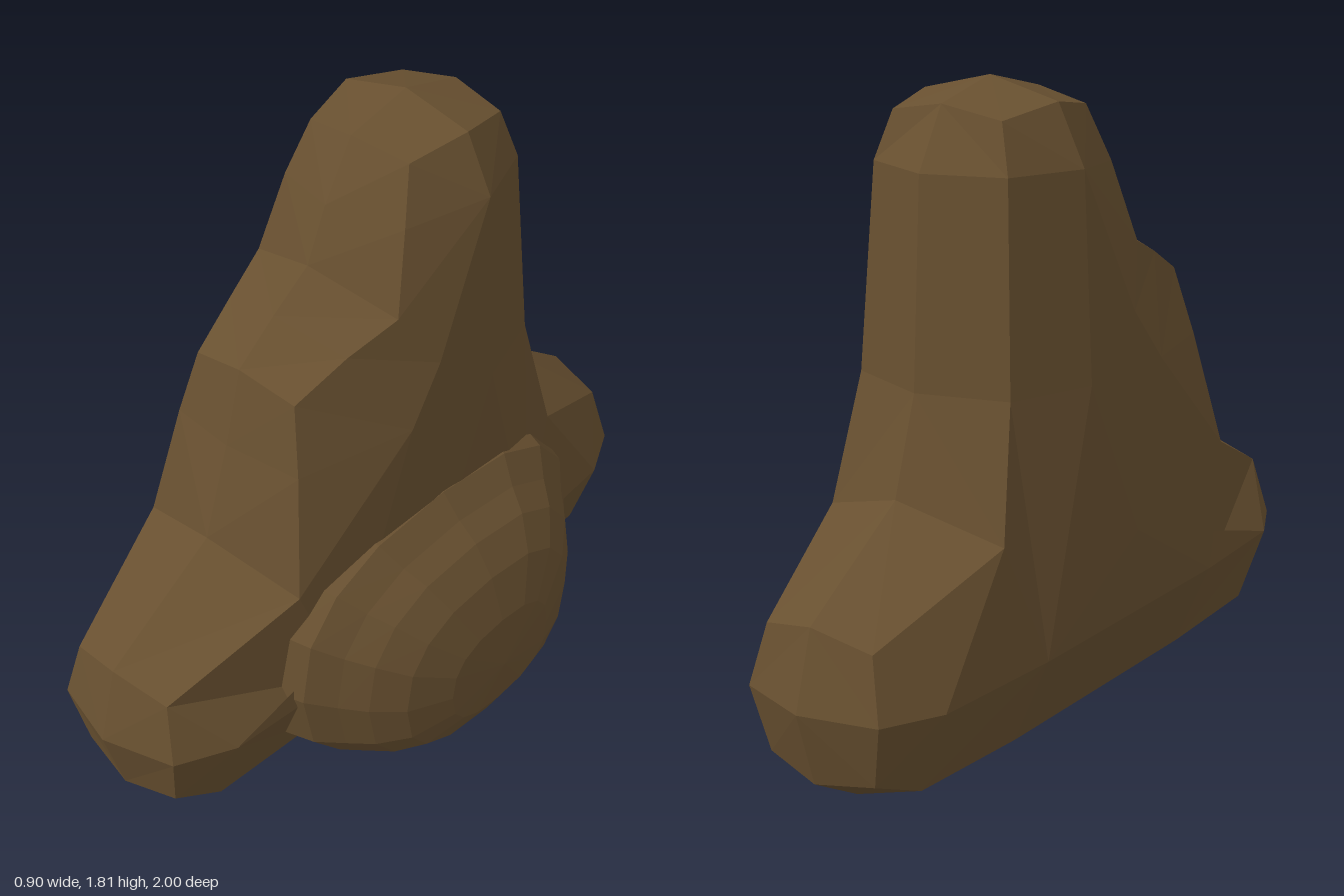
import * as THREE from 'three';

// Long ridge outline on the middle plane, as [z, y]
const RIDGE = [
  [-0.21, 1.81], [-0.41, 1.76], [-0.5, 1.6], [-0.53, 1.05], [-0.61, 0.79], [-0.94, 0.56],
  [-1, 0.35], [-0.94, 0.14], [-0.78, 0.045], [-0.3, 0.02], [0.3, 0.02], [0.78, 0.045],
  [0.94, 0.14], [1, 0.35], [0.94, 0.56], [0.58, 0.79], [0.49, 1.05], [0.43, 1.26],
  [0.3, 1.36], [0.17, 1.45], [0.1, 1.6], [0, 1.76],
];
// Bevel outline, as [z, y, half width]
const BEVEL = [
  [-0.21, 1.76, 0.21], [-0.39, 1.73, 0.17], [-0.42, 1.6, 0.21], [-0.45, 1.05, 0.24],
  [-0.53, 0.7, 0.28], [-0.91, 0.52, 0.17], [-0.94, 0.35, 0.21], [-0.91, 0.17, 0.17],
  [-0.78, 0.12, 0.21], [-0.4, 0.11, 0.22], [0.4, 0.11, 0.22], [0.78, 0.12, 0.21],
  [0.91, 0.17, 0.17], [0.94, 0.35, 0.21], [0.91, 0.52, 0.17], [0.52, 0.7, 0.28],
  [0.45, 1.03, 0.22], [0.41, 1.22, 0.175], [0.25, 1.3, 0.21], [0.1, 1.36, 0.25],
  [0.03, 1.58, 0.21], [-0.03, 1.73, 0.17],
];
// Corners of the flat side, and which corner each bevel point runs to
const SIDE = [
  [-0.21, 1.6, 0.29], [-0.21, 1.05, 0.32], [-0.4, 0.36, 0.325], [-0.78, 0.35, 0.29],
  [0.4, 0.36, 0.325], [0.78, 0.35, 0.29], [0.12, 1.05, 0.32], [0, 1.2, 0.31],
];
const SIDE_OF = [0, 0, 0, 1, 2, 3, 3, 3, 3, 2, 4, 5, 5, 5, 5, 4, 6, 6, 6, 7, 0, 0];
const MID_X = -0.12;

// Joins closed rings of points into faces, skipping collapsed ones
function loft(rings, flip) {
  const pos = [];
  const tri = (a, b, c) => {
    const area = b.clone().sub(a).cross(c.clone().sub(a)).length();
    if (area < 1e-6) return;
    for (const p of flip ? [a, c, b] : [a, b, c]) pos.push(p.x, p.y, p.z);
  };
  for (let r = 0; r < rings.length - 1; r++) {
    const outer = rings[r], inner = rings[r + 1], n = outer.length;
    for (let i = 0; i < n; i++) {
      const j = (i + 1) % n;
      tri(outer[i], inner[j], outer[j]);
      tri(outer[i], inner[i], inner[j]);
    }
  }
  const geo = new THREE.BufferGeometry();
  geo.setAttribute('position', new THREE.Float32BufferAttribute(pos, 3));
  geo.computeVertexNormals();
  return geo;
}

function rockHalf(side) {
  const ring = (pts) => pts.map(([z, y, w = 0]) => new THREE.Vector3(MID_X + side * w, y, z));
  return loft([
    ring(RIDGE),
    ring(BEVEL),
    ring(SIDE_OF.map((k) => SIDE[k])),
    ring(RIDGE.map(() => [0, 0.6, 0.335])),
  ], side < 0);
}

// Rounded boulder bulging from the left flank: [x, half length, bottom, top]
function boulder() {
  const sections = [
    [-0.12, 0.64, 0.03, 0.8], [0.13, 0.6, 0, 0.79], [0.21, 0.57, 0, 0.77], [0.27, 0.5, 0.005, 0.7],
    [0.33, 0.44, 0.015, 0.65], [0.39, 0.35, 0.05, 0.56], [0.435, 0.21, 0.13, 0.43],
    [0.45, 0, 0.27, 0.27],
  ];
  const soften = (v) => Math.sign(v) * Math.abs(v) ** 0.8;
  return loft(sections.map(([x, len, lo, hi]) => {
    const ring = [];
    for (let i = 0; i < 16; i++) {
      const a = (i / 16) * Math.PI * 2;
      ring.push(new THREE.Vector3(
        x, (lo + hi) / 2 + soften(Math.sin(a)) * (hi - lo) / 2, soften(Math.cos(a)) * len));
    }
    return ring;
  }), false);
}

export function createModel() {
  const group = new THREE.Group();
  group.name = 'rock';
  const stone = new THREE.MeshStandardMaterial({ color: 0x685030, flatShading: true });
  stone.name = 'brown stone';
  const add = (name, geo) => {
    const mesh = new THREE.Mesh(geo, stone);
    mesh.name = name;
    group.add(mesh);
  };
  add('leftFace', rockHalf(1));
  add('rightFace', rockHalf(-1));
  add('sideBoulder', boulder());
  return group;
}
